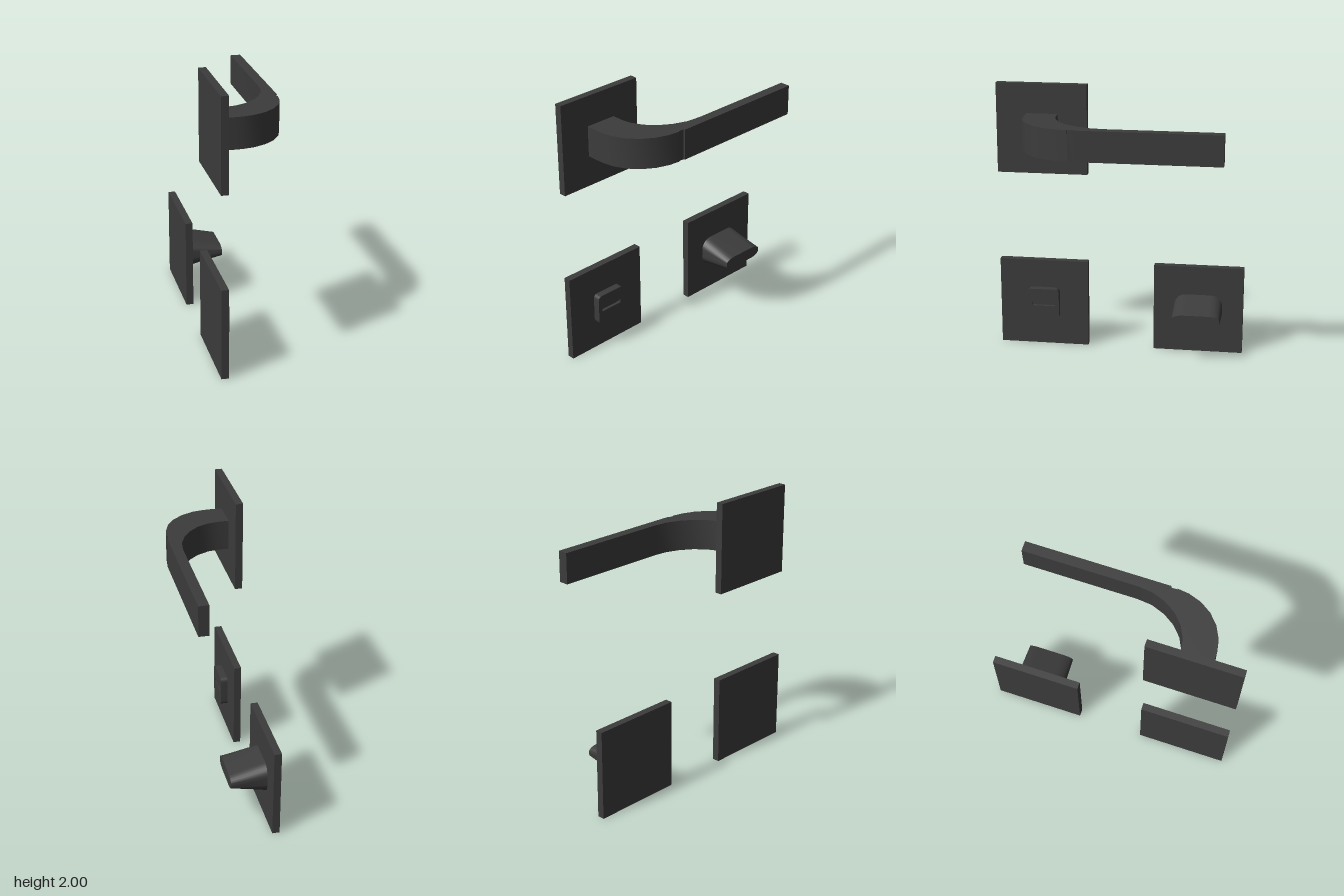
import * as THREE from 'three';
import { toCreasedNormals } from 'three/addons/utils/BufferGeometryUtils.js';

const dark = new THREE.MeshStandardMaterial({ color: 0x3c3c3c });
const PLATE_X = -0.22; // outer face of the plates

function addMesh(parent, name, geometry, x = 0, y = 0, z = 0) {
  const mesh = new THREE.Mesh(geometry, dark);
  mesh.name = name;
  mesh.position.set(x, y, z);
  parent.add(mesh);
  return mesh;
}

// Closed rounded rectangle centred on the origin
function roundedRect(w, h, r) {
  const s = new THREE.Shape();
  const a = w / 2 - r, b = h / 2 - r;
  s.absarc(a, b, r, 0, Math.PI / 2);
  s.absarc(-a, b, r, Math.PI / 2, Math.PI);
  s.absarc(-a, -b, r, Math.PI, Math.PI * 1.5);
  s.absarc(a, -b, r, Math.PI * 1.5, Math.PI * 2);
  s.closePath();
  return s;
}

// Extrudes a shape outwards from the plate, along +x
function extrudeOutward(shape, depth, deform) {
  const g = new THREE.ExtrudeGeometry(shape, { depth, bevelEnabled: false, curveSegments: 8 });
  if (deform) deform(g.attributes.position);
  g.rotateY(Math.PI / 2);
  return toCreasedNormals(g, 0.6);
}

function addPlate(parent, y, z) {
  addMesh(parent, 'plate', new THREE.BoxGeometry(0.053, 0.664, 0.664), -0.2465, y, z);
}

export function createModel() {
  const model = new THREE.Group();
  model.name = 'doorHandleSet';

  // Lever handle: plan outline (x, z) raised to the lever height
  const handle = new THREE.Group();
  handle.name = 'leverHandle';
  model.add(handle);
  addPlate(handle, 1.668, 0.58);
  const outline = [
    [-0.22, 0.69], [-0.14, 0.69], [-0.075, 0.688], [0.005, 0.673], [0.095, 0.629],
    [0.168, 0.565], [0.222, 0.483], [0.254, 0.39], [0.264, 0.308],
    [0.258, 0.308], [0.258, 0.268], [0.269, 0.265], // seam groove
    [0.269, -0.77], [0.196, -0.77],
    [0.196, 0.05], [0.185, 0.16], [0.148, 0.258], [0.092, 0.343], [0.02, 0.407],
    [-0.065, 0.448], [-0.14, 0.46], [-0.22, 0.46],
  ];
  const lever = new THREE.Shape(outline.map(([x, z]) => new THREE.Vector2(x, -z)));
  const leverGeo = new THREE.ExtrudeGeometry(lever, { depth: 0.222, bevelEnabled: false });
  leverGeo.rotateX(-Math.PI / 2);
  addMesh(handle, 'lever', toCreasedNormals(leverGeo, 0.5), 0, 1.56, 0);

  // Emergency release: rounded button with a coin slot
  const release = new THREE.Group();
  release.name = 'emergencyRelease';
  model.add(release);
  addPlate(release, 0.332, 0.58);
  const button = roundedRect(0.235, 0.235, 0.03);
  const slot = new THREE.Path();
  slot.moveTo(-0.087, -0.014);
  slot.lineTo(-0.087, 0.014);
  slot.lineTo(0.087, 0.014);
  slot.lineTo(0.087, -0.014);
  slot.closePath();
  button.holes.push(slot);
  addMesh(release, 'button', extrudeOutward(button, 0.053), PLATE_X, 0.333, 0.58);
  addMesh(release, 'slotFloor', new THREE.BoxGeometry(0.03, 0.03, 0.176), PLATE_X + 0.015, 0.333, 0.58);

  // Thumb turn: rounded block tapering in height towards its tip
  const turn = new THREE.Group();
  turn.name = 'thumbTurn';
  model.add(turn);
  addPlate(turn, 0.332, -0.58);
  const knob = extrudeOutward(roundedRect(0.355, 0.226, 0.085), 0.26, (p) => {
    for (let i = 0; i < p.count; i++) {
      if (p.getZ(i) > 0.1) p.setXY(i, p.getX(i) * 0.98, p.getY(i) * 0.4);
    }
  });
  addMesh(turn, 'knob', knob, PLATE_X, 0.334, -0.579);

  return model;
}
